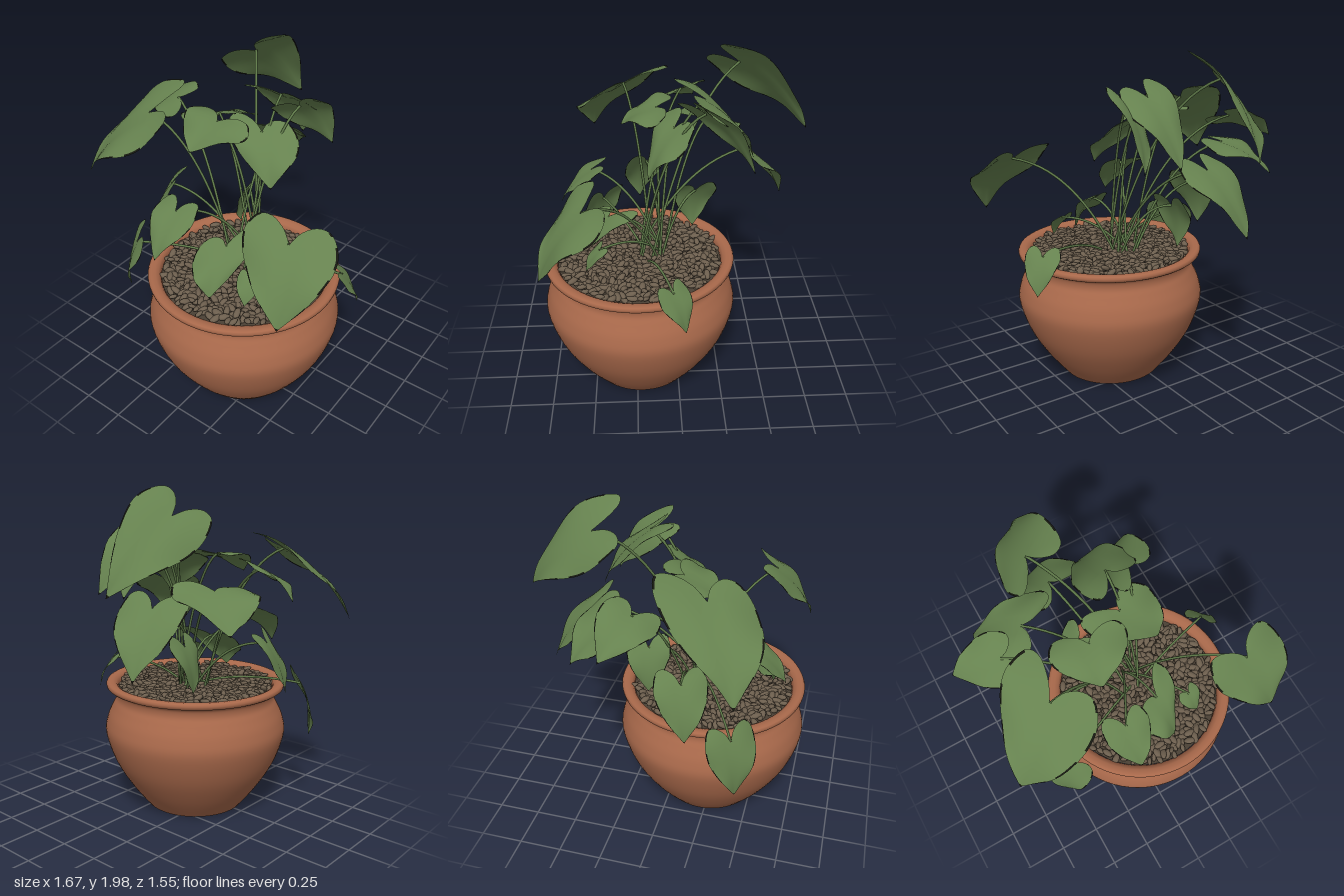
import * as THREE from 'three';
import { mergeGeometries, mergeVertices } from 'three/addons/utils/BufferGeometryUtils.js';

const V = (x, y, z) => new THREE.Vector3(x, y, z);
const mat = (name, color, side = THREE.FrontSide) => {
  const m = new THREE.MeshStandardMaterial({ color, side });
  m.name = name;
  return m;
};

// Small seeded random generator
function seeded(seed) {
  return () => {
    seed = (seed * 16807) % 2147483647;
    return seed / 2147483647;
  };
}

const POT_X = 0.105, POT_Z = 0.22;

// Large tilted leaves: two back lobes, then the tip
const CROWN = [
  [-0.08, 2.0, -0.29, -0.37, 1.79, -0.19, -0.17, 1.45, -0.77],
  [-0.47, 1.75, 0.01, -0.27, 1.64, 0.43, -0.79, 1.25, 0.5],
  [-0.5, 1.62, -0.17, -0.5, 1.52, 0.08, -0.83, 1.43, -0.15],
  [-0.17, 1.47, -0.29, -0.48, 1.46, -0.03, -0.63, 1.26, -0.38],
  [-0.06, 1.82, 0, 0.25, 1.76, -0.11, 0.06, 1.38, -0.43],
  [0.11, 1.72, 0, 0.32, 1.8, -0.11, 0.28, 1.38, -0.41],
  [-0.15, 1.62, 0, 0.2, 1.6, -0.1, 0.24, 1.34, 0.16],
  [-0.34, 1.62, 0.02, 0.04, 1.6, 0.06, -0.19, 1.49, 0.31],
  [0.35, 1.41, 0.46, 0.77, 1.39, 0.37, 0.68, 1.0, 0.73],
  [-0.02, 1.04, 0.43, 0.21, 1.13, 0.22, 0.14, 0.82, 0.58],
];

// Small hanging leaves, level from side to side: middle of the back, then the tip
const LOW = [
  [-0.1, 1.41, -0.32, -0.22, 1.01, -0.65],
  [-0.07, 1.15, -0.13, -0.16, 0.82, -0.11],
  [-0.15, 1.26, 0.42, -0.15, 1.01, 0.68],
  [-0.42, 1.18, 0.14, -0.57, 0.82, 0.21],
  [-0.48, 0.91, 0.42, -0.56, 0.51, 0.49],
  [0.62, 0.92, 0.07, 0.72, 0.68, -0.02],
  [0.3, 0.97, 0.41, 0.33, 0.82, 0.52],
];

// Placement of a leaf: middle of the back, direction to the tip, half width
function crownFrame([ax, ay, az, bx, by, bz, ...tip]) {
  const a = V(ax, ay, az), b = V(bx, by, bz);
  const mid = a.clone().lerp(b, 0.5);
  return { mid, along: V(...tip).sub(mid), across: a.sub(mid) };
}
function lowFrame([x, y, z, ...tip]) {
  const mid = V(x, y, z), along = V(...tip).sub(mid);
  const across = V(along.z, 0, -along.x).setLength(0.33 * along.length());
  return { mid, along, across };
}

// Half outline of a heart leaf: (along, across)
const HALF = new THREE.SplineCurve([
  [0.2, 0], [0.07, 0.2], [-0.02, 0.55], [0, 0.9], [0.16, 1.11],
  [0.34, 1.1], [0.52, 0.92], [0.7, 0.64], [0.87, 0.28], [1, 0],
].map(([a, s]) => new THREE.Vector2(a, s)));

// Heart-shaped blade, arched along the midrib and wavy, with a patchy withered margin
function makeLeaf({ mid, along, across }, index) {
  const up = along.clone().cross(across);
  if (up.y < 0) { across.negate(); up.negate(); }
  up.normalize();
  const len = along.length(), half = across.length();

  const place = (a, s, edge) => {
    const arch = 0.4 * a * (1 - a) * len;
    const dish = half * (0.16 * Math.abs(s) - 0.2 * s * s);
    const wave = 0.08 * half * edge * edge * Math.sin(a * 9 + Math.sign(s) * 1.3 + index);
    return mid.clone().addScaledVector(along, a).addScaledVector(across, s)
      .addScaledVector(up, arch + dish + wave * Math.min(1, Math.abs(s) * 2));
  };

  const ROWS = 32, STEPS = [0, 0.25, 0.5, 0.75, 0.955, 1], COLS = STEPS.length;
  const pos = [], blade = [], margin = [];
  for (const side of [1, -1]) {
    const start = pos.length / 3;
    for (let i = 0; i <= ROWS; i++) {
      const o = HALF.getPoint(i / ROWS);
      const rib = Math.max(0.2, o.x);
      for (const k of STEPS) {
        pos.push(...place(rib + (o.x - rib) * k, side * o.y * k, k).toArray());
      }
    }
    for (let i = 0; i < ROWS; i++) for (let j = 0; j < COLS - 1; j++) {
      const withered = j === COLS - 2 && i > 9 && Math.sin(i * 1.1 + index * 2 + side) > -0.2;
      const idx = withered || i === ROWS - 1 ? margin : blade;
      const a = start + i * COLS + j, b = a + COLS;
      if (side > 0) idx.push(a, b, a + 1, b, b + 1, a + 1);
      else idx.push(a, a + 1, b, b, a + 1, b + 1);
    }
  }
  let geo = new THREE.BufferGeometry();
  geo.setAttribute('position', new THREE.Float32BufferAttribute(pos, 3));
  geo.setIndex([...blade, ...margin]);
  geo = mergeVertices(geo, 1e-5);
  geo.addGroup(0, blade.length, 0);
  geo.addGroup(blade.length, margin.length, 1);
  geo.computeVertexNormals();
  return { geo, base: place(0.2, 0, 0) };
}

// Curved stalk from the soil to the notch of a leaf
function makeStalk(base, rand) {
  const ang = rand() * Math.PI * 2;
  const root = V(0.06 + 0.08 * Math.cos(ang), 0.75, 0.15 + 0.08 * Math.sin(ang));
  const d = base.clone().sub(root);
  const bend = root.clone().add(V(d.x * 0.4, d.y * 0.8 + 0.07, d.z * 0.4));
  const curve = new THREE.QuadraticBezierCurve3(root, bend, base);
  return new THREE.TubeGeometry(curve, 20, 0.0075, 6);
}

// Turned pot with a recessed foot and a rolled rim
function makePot() {
  const p = (r, y) => new THREE.Vector2(r, y);
  const body = new THREE.SplineCurve([
    p(0.305, 0.005), p(0.41, 0.14), p(0.505, 0.3), p(0.56, 0.47), p(0.548, 0.57),
    p(0.512, 0.65), p(0.49, 0.695), p(0.491, 0.735), p(0.51, 0.757),
  ]).getPoints(40);
  const profile = [
    p(0, 0.015), p(0.27, 0.015), p(0.28, 0.01), p(0.287, 0.002), p(0.295, 0), ...body,
    p(0.54, 0.762), p(0.55, 0.77), p(0.553, 0.785), p(0.547, 0.797), p(0.535, 0.802),
    p(0.51, 0.8), p(0.49, 0.79), p(0.478, 0.77), p(0.475, 0.72),
  ];
  return new THREE.LatheGeometry(profile, 72);
}

// Elongated pebbles spread in a sunflower pattern
function makePebbles() {
  const rand = seeded(71), list = [], count = 640;
  for (let i = 0; i < count; i++) {
    const r = 0.462 * Math.sqrt((i + 0.5) / count), a = i * 2.39996;
    const size = 0.8 + rand() * 0.5;
    const g = new THREE.IcosahedronGeometry(1, 1);
    const q = new THREE.Quaternion().setFromEuler(
      new THREE.Euler((rand() - 0.5) * 0.9, rand() * Math.PI * 2, (rand() - 0.5) * 0.9));
    g.applyMatrix4(new THREE.Matrix4().compose(
      V(r * Math.cos(a) + (rand() - 0.5) * 0.02, 0.77 + rand() * 0.018, r * Math.sin(a) + (rand() - 0.5) * 0.02),
      q, V(0.03 * size, 0.013 * size, 0.016 * size)));
    list.push(g);
  }
  return mergeGeometries(list);
}

export function createModel() {
  const model = new THREE.Group();
  model.name = 'pottedPlant';
  const clay = mat('terracotta', 0xa9694b);
  const stone = mat('pebbleBrown', 0x6d5f4e);
  const earth = mat('soilBrown', 0x4a4034);
  const green = mat('leafGreen', 0x66824f, THREE.DoubleSide);
  const withered = mat('witheredMargin', 0x15170f, THREE.DoubleSide);
  const stalkGreen = mat('stalkGreen', 0x5f7a49);
  const add = (parent, name, geo, material) => {
    const m = new THREE.Mesh(geo, material);
    m.name = name;
    parent.add(m);
  };

  // Pot with its filling
  const pot = new THREE.Group();
  pot.name = 'pot';
  pot.position.set(POT_X, 0, POT_Z);
  add(pot, 'potBody', makePot(), clay);
  add(pot, 'soil', new THREE.CircleGeometry(0.476, 48).rotateX(-Math.PI / 2).translate(0, 0.762, 0), earth);
  add(pot, 'pebbles', makePebbles(), stone);
  model.add(pot);

  // Leaves on their stalks
  const plant = new THREE.Group();
  plant.name = 'plant';
  const rand = seeded(19);
  [...CROWN.map(crownFrame), ...LOW.map(lowFrame)].forEach((frame, i) => {
    const { geo, base } = makeLeaf(frame, i);
    add(plant, 'leaf' + (i + 1), geo, [green, withered]);
    add(plant, 'stalk' + (i + 1), makeStalk(base, rand), stalkGreen);
  });
  model.add(plant);
  return model;
}
